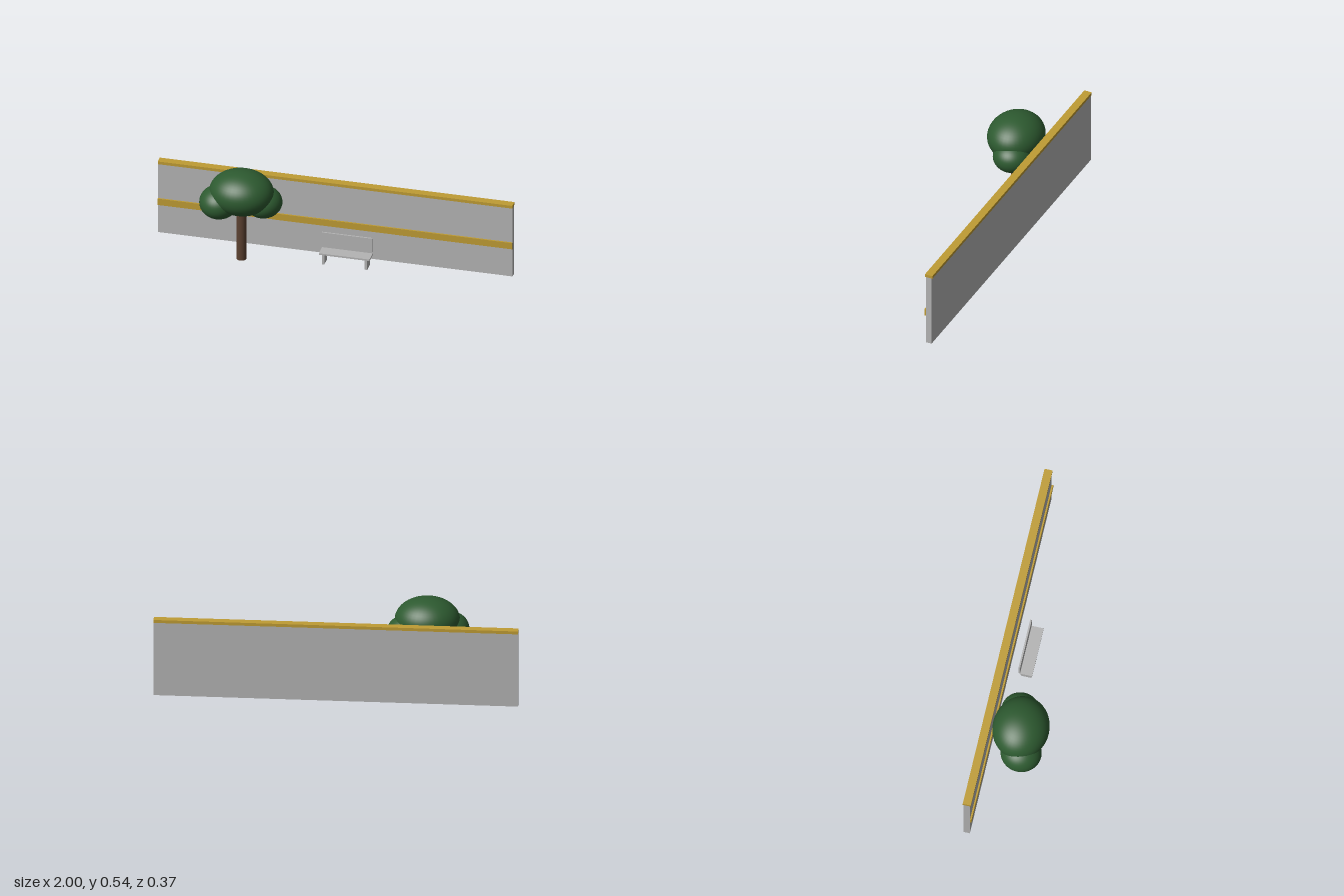
import * as THREE from 'three';

export function createModel() {
  const model = new THREE.Group();
  model.name = 'wallWithTreeAndBench';

  const mat = (name, color) => {
    const m = new THREE.MeshStandardMaterial({ color });
    m.name = name;
    return m;
  };
  const concrete = mat('concreteGrey', 0xb4b4b4);
  const gold = mat('goldTrim', 0xbf9c34);
  const bark = mat('barkBrown', 0x5a4030);
  const leaves = mat('leafGreen', 0x2d5a30);

  const add = (parent, name, geometry, material, x, y, z) => {
    const mesh = new THREE.Mesh(geometry, material);
    mesh.name = name;
    mesh.position.set(x, y, z);
    parent.add(mesh);
    return mesh;
  };
  // box given by its limits along each axis
  const box = (parent, name, material, [x0, x1], [y0, y1], [z0, z1]) =>
    add(parent, name, new THREE.BoxGeometry(x1 - x0, y1 - y0, z1 - z0), material,
      (x0 + x1) / 2, (y0 + y1) / 2, (z0 + z1) / 2);
  const group = (name) => {
    const g = new THREE.Group();
    g.name = name;
    model.add(g);
    return g;
  };

  // long wall with a coping and a raised band on its front
  const wall = group('wall');
  box(wall, 'wallPanel', concrete, [-1, 1], [0, 0.429], [-0.177, -0.142]);
  box(wall, 'wallCap', gold, [-1, 1], [0.429, 0.446], [-0.182, -0.137]);
  box(wall, 'wallBand', gold, [-1, 1], [0.175, 0.214], [-0.142, -0.133]);

  // bench: seat, floating backrest and two slab legs
  const bench = group('bench');
  box(bench, 'seat', concrete, [-0.059, 0.227], [0.061, 0.071], [-0.08, -0.009]);
  box(bench, 'backrest', concrete, [-0.059, 0.227], [0.08, 0.165], [-0.085, -0.076]);
  for (const x of [-0.037, 0.205]) {
    box(bench, 'benchLeg', concrete, [x - 0.007, x + 0.007], [0, 0.059], [-0.075, -0.016]);
  }

  // tree: straight trunk and three overlapping crown ellipsoids
  const tree = group('tree');
  add(tree, 'trunk', new THREE.CylinderGeometry(0.028, 0.028, 0.36, 32), bark, -0.486, 0.18, 0.027);
  const crown = (name, position, radii) =>
    add(tree, name, new THREE.SphereGeometry(1, 40, 28), leaves, ...position).scale.set(...radii);
  crown('crownMain', [-0.486, 0.416, 0.027], [0.179, 0.125, 0.156]);
  crown('crownRight', [-0.605, 0.354, 0.055], [0.109, 0.092, 0.113]);
  crown('crownLeft', [-0.37, 0.354, -0.003], [0.104, 0.086, 0.106]);

  return model;
}
